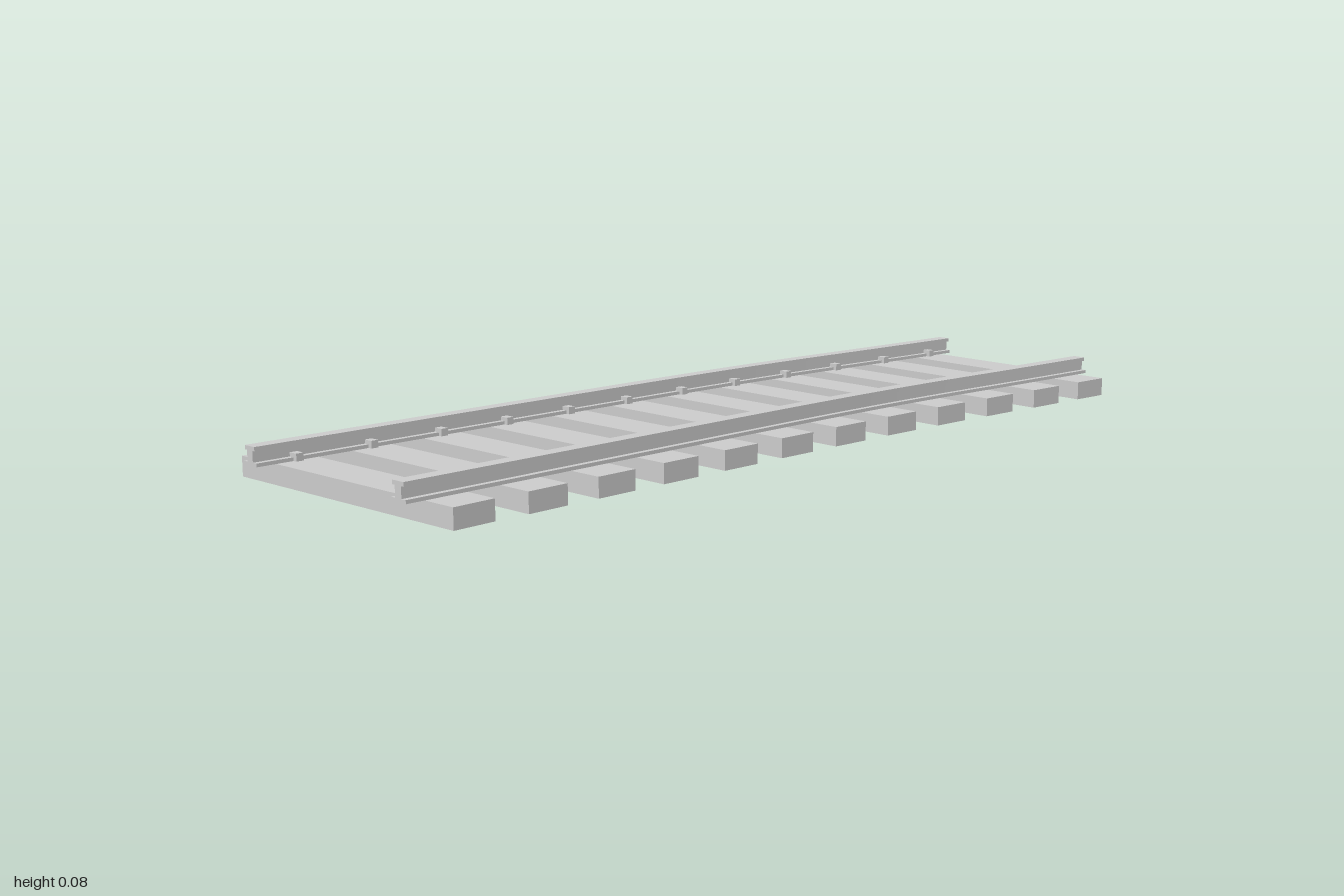
import * as THREE from 'three';

// Centre line of the track: front (t = 0) to back (t = 1), gently curving to +x
const CENTRE = new THREE.SplineCurve([
  [-0.056, 1], [-0.04, 0.42], [-0.024, -0.08], [-0.003, -0.405], [0.032, -0.733], [0.056, -0.973],
].map(([x, z]) => new THREE.Vector2(x, z)));
const TURN = 0.113; // heading change over the whole length
const Z_FRONT = 1, LENGTH = 1.973;
const GAUGE = 0.217; // centre line to rail

// Point at a sideways offset from the centre line
function trackPoint(t, offset, y) {
  const p = CENTRE.getPointAt(t), a = TURN * t;
  return new THREE.Vector3(p.x + offset * Math.cos(a), y, p.y + offset * Math.sin(a));
}

// I-shaped rail section: foot, web, head
function railGeometry(side) {
  const half = [[0.02, 0.04], [0.02, 0.047], [0.0085, 0.047], [0.0085, 0.069], [0.015, 0.069], [0.015, 0.077]];
  const outline = [...half, ...half.map(([x, y]) => [-x, y]).reverse()];
  const shape = new THREE.Shape(outline.map(([x, y]) => new THREE.Vector2(x, y)));
  const geo = new THREE.ExtrudeGeometry(shape, { depth: 1, steps: 24, bevelEnabled: false });
  const pos = geo.attributes.position;
  for (let i = 0; i < pos.count; i++) {
    const p = trackPoint(1 - pos.getZ(i), side * GAUGE + pos.getX(i), pos.getY(i));
    pos.setXYZ(i, p.x, p.y, p.z);
  }
  geo.computeVertexNormals();
  return geo;
}

export function createModel() {
  const group = new THREE.Group();
  group.name = 'railwayTrack';
  const material = new THREE.MeshStandardMaterial({ color: 0xcccccc, flatShading: true });

  const add = (geometry, name) => {
    const mesh = new THREE.Mesh(geometry, material);
    mesh.name = name;
    group.add(mesh);
    return mesh;
  };

  // Rails
  add(railGeometry(-1), 'rightRail');
  add(railGeometry(1), 'leftRail');

  // Sleepers, each with a fastening on the inner side of both rails
  const sleeperGeo = new THREE.BoxGeometry(0.62, 0.04, 0.09);
  const clipGeo = new THREE.BoxGeometry(0.026, 0.016, 0.016);
  for (let i = 0; i < 12; i++) {
    const t = (Z_FRONT - (0.915 - i * 0.1645)) / LENGTH;
    const place = (mesh, offset, y) => {
      mesh.position.copy(trackPoint(t, offset, y));
      mesh.rotation.y = -TURN * t;
    };
    place(add(sleeperGeo, 'sleeper'), 0, 0.02);
    for (const side of [-1, 1]) place(add(clipGeo, 'railClip'), side * 0.201, 0.047);
  }
  return group;
}
